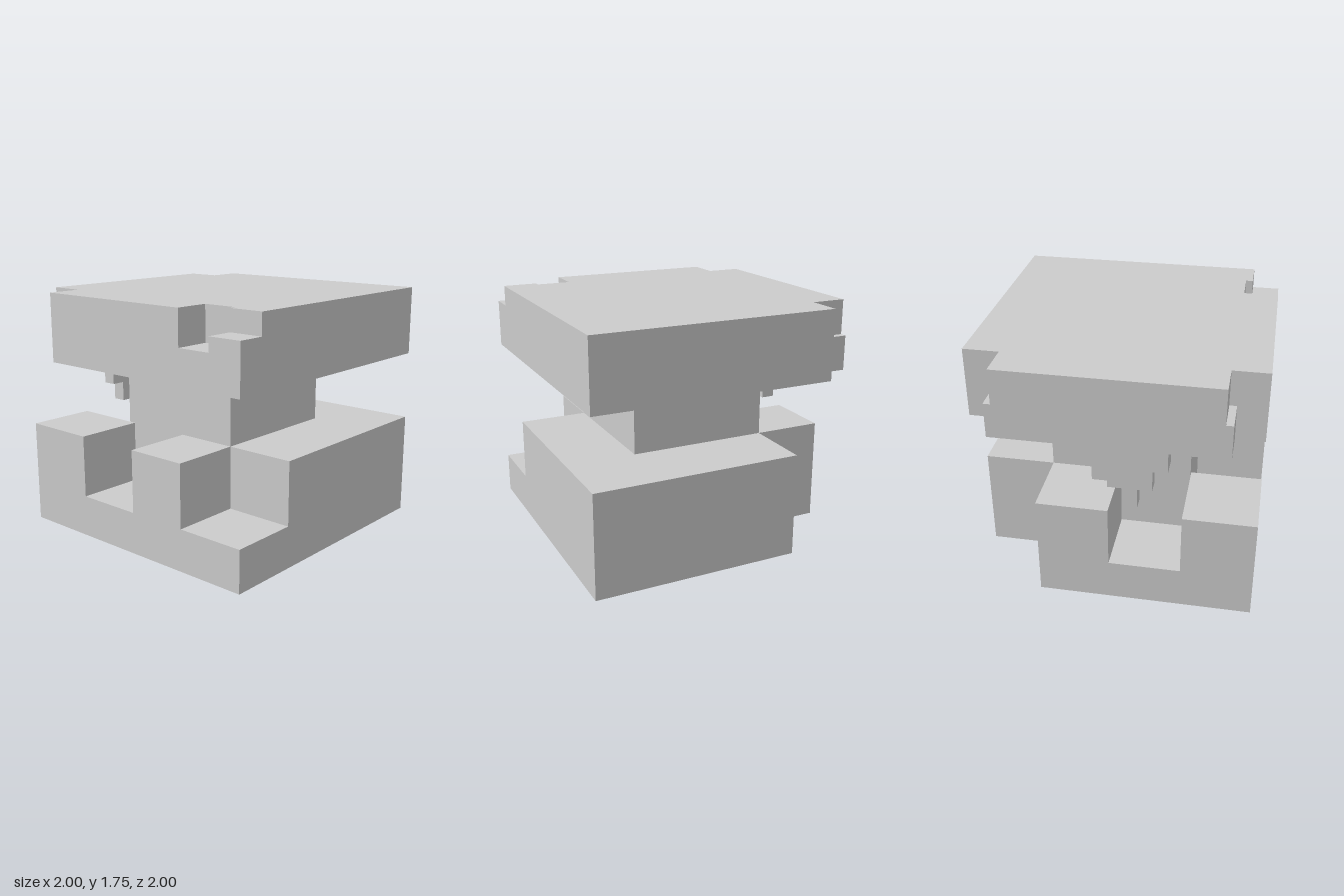
import * as THREE from 'three';

const material = new THREE.MeshStandardMaterial({ color: 0xcccccc, flatShading: true });

// Upright block from a plan outline of [x, z] corners, between two heights
function layer(name, outline, y0, y1) {
  const shape = new THREE.Shape(outline.map(([x, z]) => new THREE.Vector2(x, -z)));
  const geometry = new THREE.ExtrudeGeometry(shape, { depth: y1 - y0, bevelEnabled: false });
  geometry.rotateX(-Math.PI / 2).translate(0, y0, 0);
  const mesh = new THREE.Mesh(geometry, material);
  mesh.name = name;
  return mesh;
}

// Plan rectangle
const rect = (x0, x1, z0, z1) => [[x0, z0], [x1, z0], [x1, z1], [x0, z1]];

export function createModel() {
  const model = new THREE.Group();
  model.name = 'brokenPedestal';

  // Base: one rear corner missing, upper part chipped on the back and side
  const base = new THREE.Group();
  base.name = 'base';
  const rearCorner = [[1, 1], [1, -0.5], [0.5, -0.5], [0.5, -1]];
  base.add(
    layer('baseFoot', [...rearCorner, [-1, -1], [-1, 1]], 0, 0.3),
    layer('baseNotchedTop', [
      ...rearCorner,
      [0, -1], [0, -0.5], [-0.5, -0.5], [-0.5, -1], [-1, -1],
      [-1, -0.45], [-0.5, -0.45], [-0.5, 0.05], [-1, 0.05],
      [-1, 0.5], [-0.5, 0.5], [-0.5, 1],
    ], 0.3, 0.75),
  );

  // Square column
  const column = layer('column', rect(-0.5, 0.5, -0.5, 0.5), 0.75, 1.25);

  // Slab: rear corners cut slightly deeper in the upper half, chips on one side
  const slab = new THREE.Group();
  slab.name = 'slab';
  const rear = (c) => [
    [1, 1], [1, -0.75], [c, -0.75], [c, -1], [-c, -1], [-c, -0.75], [-1, -0.75],
  ];
  const sideChip = [[-1, 0.5], [-0.75, 0.5], [-0.75, 0.75]];
  slab.add(
    layer('slabLower', [...rear(0.8), [-1, 1]], 1.25, 1.5),
    layer('slabMiddle', [...rear(0.75), ...sideChip, [-1, 0.75], [-1, 1]], 1.5, 1.6),
    layer('slabUpper', [...rear(0.75), ...sideChip, [-0.8, 0.75], [-0.8, 1]], 1.6, 1.75),
  );

  // Stepped fringe hanging from the back edge: [left edge x, bottom y, depth]
  const fringe = new THREE.Group();
  fringe.name = 'hangingFringe';
  const steps = [
    [0.3, 1.15, 0.1], [0.2, 1.1, 0.1], [0.1, 1.0, 0.1], [0, 0.95, 0.15],
    [-0.1, 0.8, 0.1], [-0.2, 0.95, 0.1], [-0.3, 1.1, 0.15],
  ];
  steps.forEach(([x, y, d], i) => {
    fringe.add(layer(`fringeStep${i + 1}`, rect(x - 0.1, x, -1, -1 + d), y, 1.25));
  });

  model.add(base, column, slab, fringe);
  return model;
}
